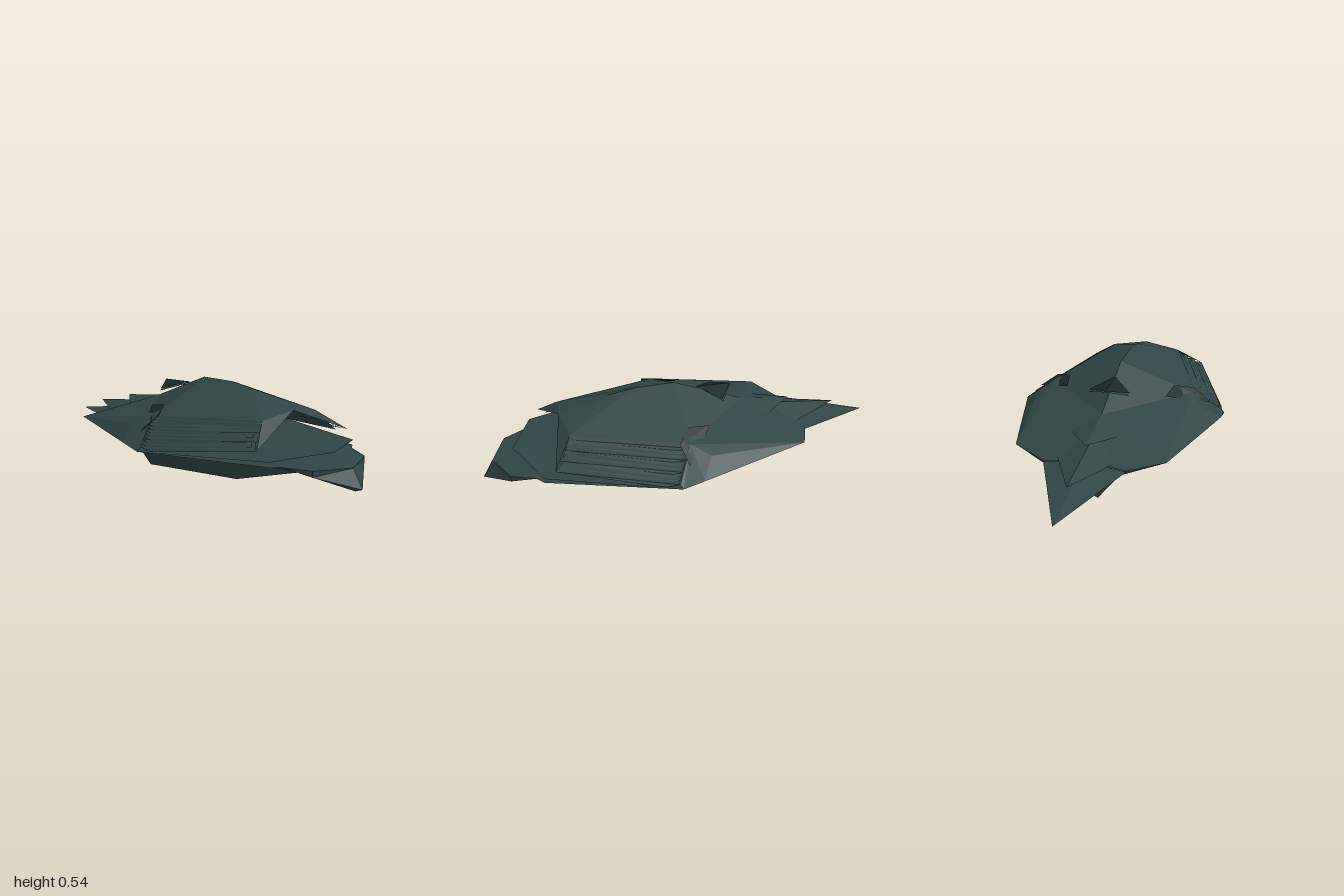
import * as THREE from 'three';

const hullMat = new THREE.MeshStandardMaterial({ color: 0x2f4545, flatShading: true, side: THREE.DoubleSide });
hullMat.name = 'dark slate plating';
const ventMat = new THREE.MeshStandardMaterial({ color: 0x1b2828, flatShading: true, side: THREE.DoubleSide });
ventMat.name = 'recess shade';

// Faceted panel: named corner points and faces written as point names, mirrored across x = 0.
function panel(name, points, faces, material = hullMat) {
  const pos = [];
  for (const side of [1, -1]) {
    for (const face of faces) {
      const c = face.split(' ').map((k) => points[k]);
      if (side < 0) c.reverse();
      for (let i = 1; i < c.length - 1; i++) {
        for (const p of [c[0], c[i], c[i + 1]]) pos.push(p[0] * side, p[1], p[2]);
      }
    }
  }
  const g = new THREE.BufferGeometry();
  g.setAttribute('position', new THREE.Float32BufferAttribute(pos, 3));
  g.computeVertexNormals();
  const m = new THREE.Mesh(g, material);
  m.name = name;
  return m;
}

const mix = (a, b, t) => a.map((v, i) => v + (b[i] - v) * t);

// Shared corners of the +x half
const P = {
  // nose and keeled hull
  tip: [0, 0.172, 1], under: [0, 0.158, 0.965], lip: [0, 0.255, 0.95],
  noseLow: [0.18, 0.235, 0.88], nose: [0.18, 0.262, 0.88], cheek: [0.24, 0.266, 0.77], side: [0.285, 0.267, 0.74],
  wing: [0.515, 0.265, 0.16], wingBack: [0.51, 0.285, 0.06], rear: [0.35, 0.3, -0.5],
  tailRoot: [0.19, 0.28, -0.58], stern: [0, 0.22, -0.66],
  keelNose: [0, 0.18, 0.68], keelFront: [0, 0.06, 0.28], keelBack: [0, 0, -0.38], chine: [0.2, 0.207, -0.2],
  // decks
  deckTip: [0, 0.303, 0.85], deckCorner: [0.29, 0.29, 0.74], deckMid: [0, 0.3, 0.4],
  step: [0, 0.485, -0.08], ridge: [0, 0.4, -0.3], ridgeLow: [0, 0.355, -0.42], ridgeEnd: [0, 0.3, -0.58],
  shoulder: [0.36, 0.395, 0.08], flank: [0.42, 0.355, 0],
  // canopy
  peakFront: [0, 0.535, 0.25], peak: [0, 0.535, 0.05], crown: [0, 0.515, 0.38],
  brow: [0, 0.45, 0.62], browSide: [0.18, 0.425, 0.6], jaw: [0.31, 0.33, 0.69], sill: [0.5, 0.282, 0.17],
  jawInner: [0.26, 0.33, 0.66], sillInner: [0.45, 0.283, 0.15],
};

// Swept spike plate lying along the centre line
function spike(name, tip, halfWidth, baseZ, baseY, root) {
  return panel(name, { tip, root, side: [halfWidth, baseY, baseZ], under: [0, tip[1] - 0.012, baseZ] },
    ['tip side root', 'tip under side']);
}

export function createModel() {
  const model = new THREE.Group();
  model.name = 'facetedCraft';

  // Keeled underside
  model.add(panel('lowerHull', P, [
    'tip under noseLow', 'under keelNose noseLow', 'noseLow keelNose cheek', 'cheek keelNose side',
    'side keelNose chine', 'keelNose keelFront chine', 'side chine wing', 'keelFront keelBack chine',
    'keelBack stern chine', 'wing chine wingBack', 'wingBack chine rear', 'chine stern rear', 'rear stern tailRoot',
  ]));

  // Nose lip and the floor behind it
  model.add(panel('nose', P, [
    'tip noseLow lip', 'noseLow nose lip', 'noseLow cheek nose',
    'lip nose deckMid', 'nose cheek deckMid', 'cheek side deckMid', 'side wing deckMid',
  ]));

  // Thin pointed deck between floor and canopy
  model.add(panel('midDeck', P, ['deckTip deckCorner deckMid', 'deckCorner wing deckMid']));

  // Back, sloping from the peak to the stern
  model.add(panel('rearDeck', P, [
    'peak shoulder step', 'step shoulder ridge', 'ridge shoulder rear', 'ridge rear ridgeLow',
    'ridgeLow rear tailRoot', 'ridgeLow tailRoot ridgeEnd',
    'shoulder flank rear', 'flank wingBack rear', 'shoulder wingBack flank', 'wingBack shoulder wing',
  ]));

  // Front canopy with its recessed cheek wall
  model.add(panel('canopy', P, [
    'peakFront shoulder peak', 'crown browSide peakFront', 'peakFront browSide shoulder',
    'brow browSide crown', 'brow jaw browSide', 'browSide jawInner shoulder', 'jawInner sillInner shoulder',
    'shoulder sill wing',
  ]));

  // Overlapping louvre blades standing out from each cheek wall
  const count = 10;
  for (let i = 0; i < count; i++) {
    const t = i / count;
    const front = mix(P.jaw, P.browSide, t);
    front[2] -= (i % 3) * 0.03;
    const outer = mix(P.sill, P.shoulder, t);
    const inner = [front[0] - 0.06, front[1] + 0.02, front[2] - 0.06];
    const heel = [outer[0] - 0.06, outer[1] + 0.015, outer[2]];
    const lower = [outer[0] - 0.01, outer[1] - 0.008, outer[2] + 0.06];
    model.add(panel('cheekLouvre' + (i + 1), { front, outer, inner, heel, lower },
      ['front outer heel inner', 'front lower outer']));
  }

  // Spikes stacked towards the tail
  model.add(spike('topSpike', [0, 0.487, -0.24], 0.1, -0.17, 0.45, P.step));
  model.add(spike('upperRearSpike', [0, 0.367, -0.56], 0.12, -0.4, 0.352, P.ridge));
  model.add(spike('lowerRearSpike', [0, 0.306, -0.82], 0.13, -0.56, 0.295, P.ridgeLow));
  model.add(spike('tailSpike', [0, 0.232, -1], 0.19, -0.58, 0.275, P.ridgeEnd));

  // Dark recesses on the back and shoulders
  model.add(panel('backRecess', {
    a: [0, 0.498, -0.06], b: [0.1, 0.462, -0.165], c: [0, 0.492, -0.24],
  }, ['a b c'], ventMat));
  model.add(panel('shoulderRecess', {
    a: [0.25, 0.415, -0.05], b: [0.45, 0.338, 0.11], c: [0.36, 0.402, 0.13], d: [0.27, 0.432, 0.06],
  }, ['a b c d'], ventMat));
  return model;
}
